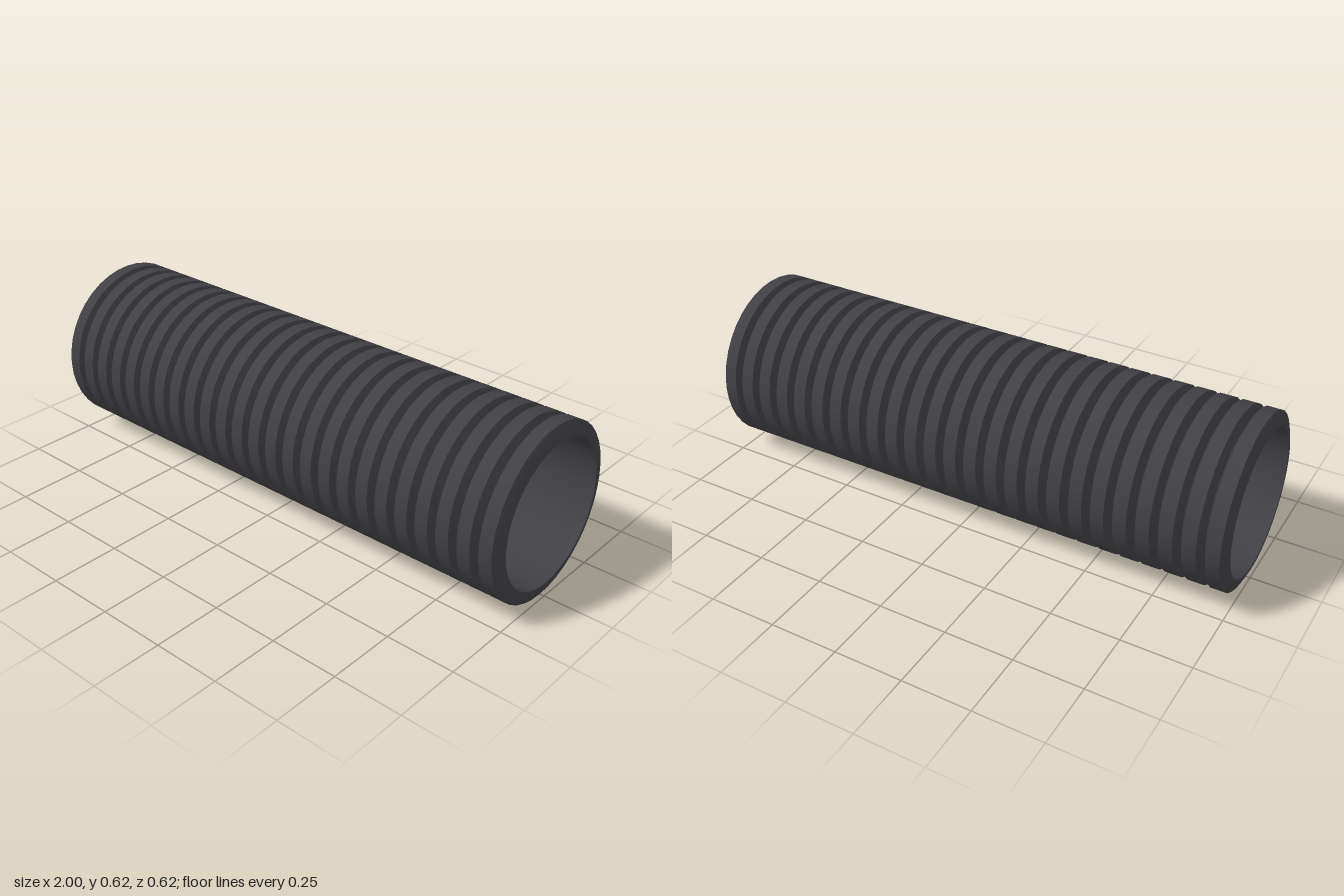
import * as THREE from 'three';
import { toCreasedNormals } from 'three/addons/utils/BufferGeometryUtils.js';

const LENGTH = 2, RIBS = 25, SEGMENTS = 40;
const R_OUTER = 0.3125, R_GROOVE = 0.274, R_BORE = 0.26;

export function createModel() {
  const group = new THREE.Group();
  group.name = 'corrugatedPipe';
  const plastic = new THREE.MeshStandardMaterial({ color: 0x414045 });
  plastic.name = 'dark grey plastic';

  // Closed wall profile: ribbed outside going up, smooth bore coming back down
  const pitch = LENGTH / RIBS;
  const profile = [new THREE.Vector2(R_BORE, -LENGTH / 2)];
  for (let i = 0; i < RIBS; i++) {
    const y = -LENGTH / 2 + i * pitch;
    profile.push(
      new THREE.Vector2(R_GROOVE, y),
      new THREE.Vector2(R_OUTER, y + pitch * 0.2),
      new THREE.Vector2(R_OUTER, y + pitch * 0.8)
    );
  }
  profile.push(
    new THREE.Vector2(R_GROOVE, LENGTH / 2),
    new THREE.Vector2(R_BORE, LENGTH / 2),
    new THREE.Vector2(R_BORE, -LENGTH / 2)
  );

  // Lay the pipe along x, resting on the ground
  const geometry = toCreasedNormals(new THREE.LatheGeometry(profile, SEGMENTS), 0.5);
  geometry.rotateZ(-Math.PI / 2);
  const pipe = new THREE.Mesh(geometry, plastic);
  pipe.name = 'ribbedPipeWall';
  pipe.position.y = R_OUTER;
  group.add(pipe);
  return group;
}
